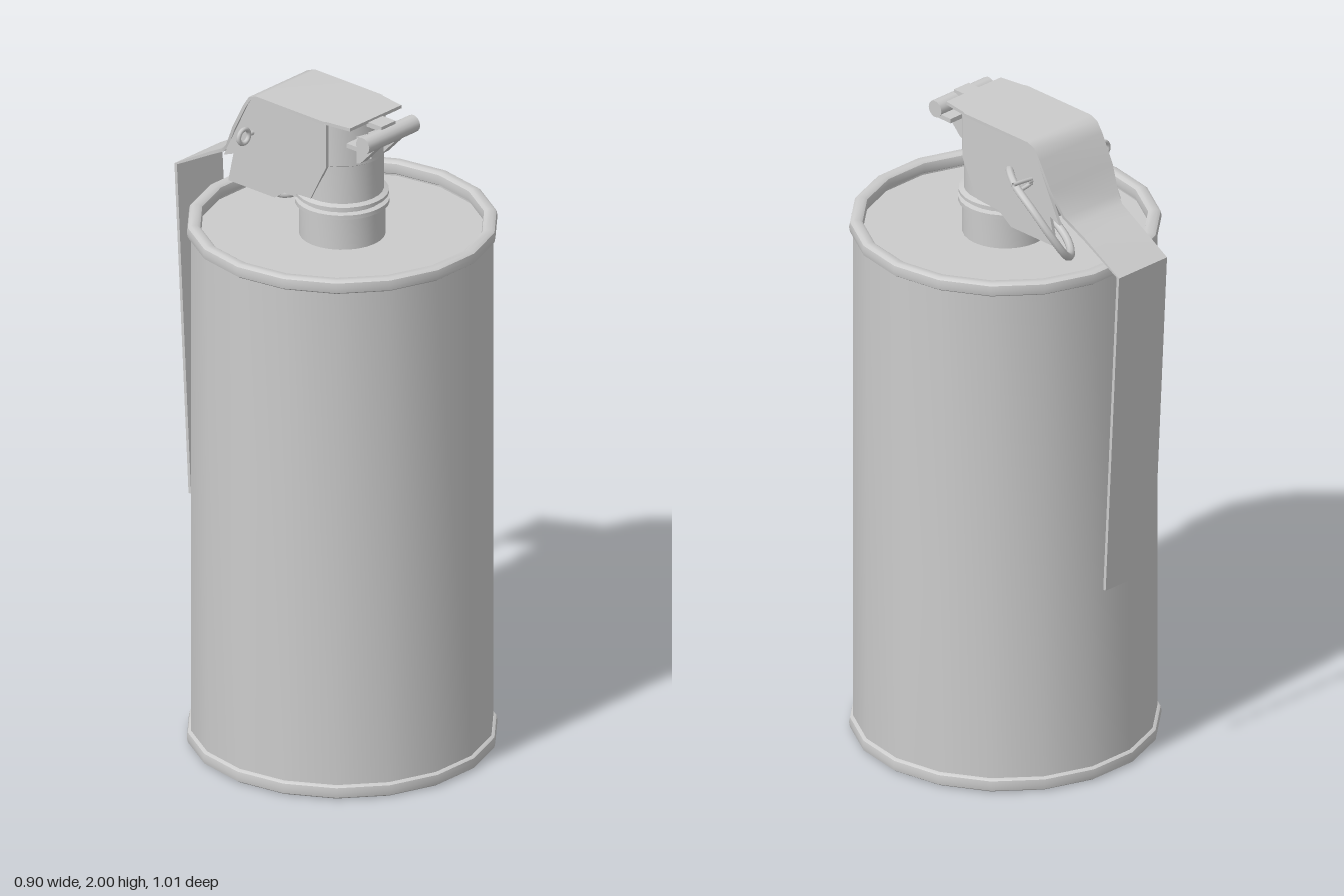
import * as THREE from 'three';
import { toCreasedNormals } from 'three/addons/utils/BufferGeometryUtils.js';

const CZ = 0.06; // canister axis

export function createModel() {
  const root = new THREE.Group();
  const mat = new THREE.MeshStandardMaterial({ color: 0xcccccc, side: THREE.DoubleSide });
  const add = (name, geo, x = 0, y = 0, z = 0) => {
    const m = new THREE.Mesh(geo, mat);
    m.name = name;
    m.position.set(x, y, z);
    root.add(m);
    return m;
  };
  const v2 = (pts) => pts.map(([a, b]) => new THREE.Vector2(a, b));
  const lathe = (pts, seg) => toCreasedNormals(new THREE.LatheGeometry(v2(pts), seg, Math.PI / 2), 0.65);
  const tube = (pts, r, closed, n = 48) => new THREE.TubeGeometry(
    new THREE.CatmullRomCurve3(pts.map((p) => new THREE.Vector3(...p)), closed), n, r, 8, closed);

  // Canister: wall and recessed end discs, 18 sides
  add('canister', lathe([[0, 0.03], [0.42, 0.03], [0.44, 0.04], [0.44, 1.605], [0.42, 1.605], [0.42, 1.595], [0, 1.595]], 18), 0, 0, CZ);

  // Rolled rims
  const rim = [];
  for (let i = 0; i <= 10; i++) {
    const a = -i / 10 * Math.PI * 2;
    const c = Math.cos(a), s = Math.sin(a);
    rim.push([0.431 + 0.021 * Math.sign(c) * Math.abs(c) ** 0.7, 0.022 * Math.sign(s) * Math.abs(s) ** 0.7]);
  }
  for (const [name, y] of [['bottomRim', 0.022], ['topRim', 1.62]]) add(name, lathe(rim.slice().reverse(), 18), 0, y, CZ);

  // Neck with collar grooves and the round front of the fuze head
  add('neck', lathe([[0.125, 1.59], [0.125, 1.69], [0.137, 1.695], [0.137, 1.708], [0.122, 1.712], [0.122, 1.718],
    [0.135, 1.722], [0.135, 1.732], [0.12, 1.738], [0.12, 1.855], [0.125, 1.858], [0.125, 1.985], [0, 1.985]], 28), 0, 0, CZ);
  add('fuzeBlock', new THREE.BoxGeometry(0.21, 0.27, 0.22), 0, 1.85, -0.05);

  // Lever side plates, drawn in the z-y plane
  const plate = new THREE.Shape(v2([[0.11, 1.99], [0.11, 1.855], [0.05, 1.74], [-0.04, 1.735], [-0.09, 1.7], [-0.27, 1.7],
    [-0.25, 1.79], [-0.288, 1.775], [-0.18, 1.99]]));
  for (const s of [-1, 1]) {
    const geo = new THREE.ExtrudeGeometry(plate, { depth: 0.01, bevelEnabled: false });
    geo.rotateY(-Math.PI / 2); // drawn x becomes z
    add(s > 0 ? 'leftLeverPlate' : 'rightLeverPlate', geo, s * 0.12 + 0.005);
  }

  // Lever strip: rectangular sections along z, y, half width
  const path = [[0.19, 1.994, 0.11], [0.11, 1.994, 0.122], [0.1, 1.994, 0.127], [-0.16, 1.994, 0.127], [-0.185, 1.985, 0.127],
    [-0.205, 1.955, 0.127], [-0.25, 1.87, 0.125], [-0.29, 1.795, 0.109], [-0.315, 1.773, 0.1], [-0.36, 1.75, 0.098],
    [-0.5, 1.672, 0.097], [-0.445, 0.645, 0.097]];
  const pos = [], idx = [];
  path.forEach(([z, y, w], i) => {
    const a = path[Math.max(i - 1, 0)], b = path[Math.min(i + 1, path.length - 1)];
    const d = new THREE.Vector2(b[0] - a[0], b[1] - a[1]).normalize().multiplyScalar(0.005);
    const nz = d.y, ny = -d.x; // outward offset
    pos.push(-w, y + ny, z + nz, w, y + ny, z + nz, w, y - ny, z - nz, -w, y - ny, z - nz);
    if (i) for (let k = 0; k < 4; k++) {
      const p = (i - 1) * 4 + k, q = (i - 1) * 4 + (k + 1) % 4;
      idx.push(p, q, p + 4, q, q + 4, p + 4);
    }
  });
  const e = (path.length - 1) * 4;
  idx.push(0, 2, 1, 0, 3, 2, e, e + 1, e + 2, e, e + 2, e + 3);
  const strip = new THREE.BufferGeometry();
  strip.setAttribute('position', new THREE.Float32BufferAttribute(pos, 3));
  strip.setIndex(idx);
  // wind outward
  for (let i = 0; i < idx.length; i += 3) [idx[i + 1], idx[i + 2]] = [idx[i + 2], idx[i + 1]];
  strip.setIndex(idx);
  add('leverStrip', toCreasedNormals(strip, 0.7));

  // Front hinge: roll, tab and side brackets
  const roll = new THREE.CylinderGeometry(0.026, 0.026, 0.218, 14);
  roll.rotateZ(Math.PI / 2);
  add('hingeRoll', roll, 0, 1.957, 0.238);
  add('hingeTab', new THREE.BoxGeometry(0.06, 0.016, 0.075), 0, 1.984, 0.203);
  add('hingeTabDrop', new THREE.BoxGeometry(0.05, 0.08, 0.014), 0, 1.915, 0.19);
  const web = new THREE.Shape(v2([[0.17, 1.95], [0.17, 1.865], [0.185, 1.87], [0.25, 1.938], [0.235, 1.96]]));
  for (const s of [-1, 1]) {
    const geo = new THREE.ExtrudeGeometry(web, { depth: 0.03, bevelEnabled: false });
    geo.rotateY(-Math.PI / 2);
    add('hingeBracket', geo, s * 0.045 + 0.015);
    add('hingeBar', new THREE.BoxGeometry(0.07, 0.014, 0.06), s * 0.073, 1.94, 0.205);
  }

  // Safety pin with an eye at one end and split prongs at the other
  const shaft = new THREE.CylinderGeometry(0.007, 0.007, 0.28, 8);
  shaft.rotateZ(Math.PI / 2);
  add('pinShaft', shaft, 0, 1.88, -0.175);
  add('pinEye', new THREE.TorusGeometry(0.022, 0.007, 8, 20), -0.163, 1.88, -0.175);
  add('pinProng', tube([[0.12, 1.885, -0.175], [0.16, 1.89, -0.175], [0.2, 1.893, -0.175]], 0.006, false, 8));
  add('pinProng', tube([[0.12, 1.875, -0.175], [0.15, 1.868, -0.175], [0.185, 1.865, -0.175]], 0.006, false, 8));

  // Pull ring, hanging tilted and passing under the lever
  add('pullRing', tube([[0.13, 1.885, -0.09], [0.175, 1.875, -0.16], [0.186, 1.83, -0.24], [0.165, 1.755, -0.297],
    [0.12, 1.685, -0.31], [0.05, 1.65, -0.26], [-0.01, 1.65, -0.18], [-0.03, 1.69, -0.09], [0, 1.78, -0.04],
    [0.07, 1.85, -0.05]], 0.012, true, 64));

  return root;
}
